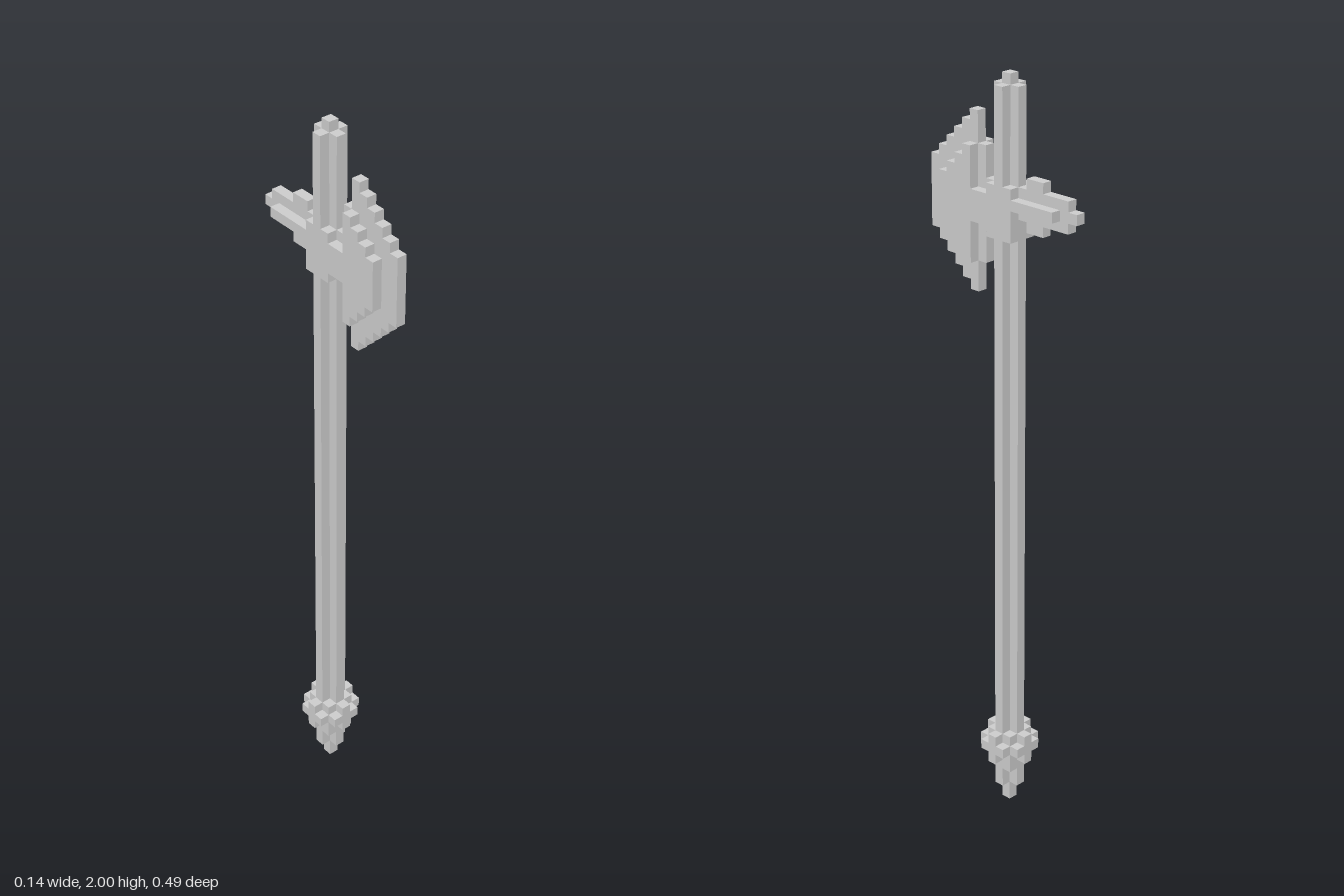
import * as THREE from 'three';

const U = 2 / 74; // one voxel; everything below is measured in voxels
const material = new THREE.MeshStandardMaterial({ color: 0xcccccc, flatShading: true });

function add(parent, name, geometry) {
  const mesh = new THREE.Mesh(geometry, material);
  mesh.name = name;
  parent.add(mesh);
  return mesh;
}

const extrude = (points, depth) => new THREE.ExtrudeGeometry(
  new THREE.Shape(points.map(([x, y]) => new THREE.Vector2(x, y))),
  { depth, bevelEnabled: false });

// Bar with a plus-shaped section, three voxels across, centred and running along z
function plusBar(length) {
  const a = 0.5, b = 1.5;
  return extrude([[a, -b], [a, -a], [b, -a], [b, a], [a, a], [a, b],
    [-a, b], [-a, a], [-b, a], [-b, -a], [-a, -a], [-a, -b]], length)
    .translate(0, 0, -length / 2);
}

const uprightBar = (y0, y1) => plusBar(y1 - y0).rotateX(Math.PI / 2).translate(0, (y0 + y1) / 2, 0);

const block = (w, y0, y1) => new THREE.BoxGeometry(w, y1 - y0, w).translate(0, (y0 + y1) / 2, 0);

// Upright plate from columns [z start, bottom, top]; the last column ends at zEnd
function steppedPlate(columns, zEnd, thickness) {
  const top = [], bottom = [];
  columns.forEach(([z0, lo, hi], i) => {
    const z1 = i + 1 < columns.length ? columns[i + 1][0] : zEnd;
    bottom.push([z0, lo], [z1, lo]);
    top.push([z0, hi], [z1, hi]);
  });
  return extrude([...bottom, ...top.reverse()], thickness)
    .rotateY(-Math.PI / 2).translate(thickness / 2, 0, 0);
}

export function createModel() {
  const model = new THREE.Group();
  model.name = 'battleAxe';
  model.scale.setScalar(U);

  // Pole and pommel share an axis half a voxel behind the centre
  const pole = new THREE.Group();
  pole.name = 'pole';
  pole.position.z = -0.5;
  model.add(pole);
  add(pole, 'shaft', uprightBar(8, 73));
  add(pole, 'shaftTip', block(1, 73, 74));

  // Pommel: core, four studs, tapered end
  add(pole, 'pommelCore', block(3, 4, 8));
  add(pole, 'pommelStudsFrontBack', plusBar(5).translate(0, 6.5, 0));
  add(pole, 'pommelStudsSides', plusBar(5).rotateY(Math.PI / 2).translate(0, 6.5, 0));
  add(pole, 'pommelTaper', uprightBar(2, 4));
  add(pole, 'pommelPoint', block(1, 0, 2));

  const head = new THREE.Group();
  head.name = 'axeHead';
  model.add(head);

  // Thin cutting blade: crescent that loses one voxel at each end per column
  const blade = [[1, 59, 64], [2, 56, 67]];
  for (let z = 3; z < 9; z++) blade.push([z, 50 + z, 73 - z]);
  add(head, 'blade', steppedPlate(blade, 9, 1));

  // Thicker cheeks of the blade and its neck
  const cheek = [[1, 60, 63]];
  for (let z = 3; z < 7; z++) cheek.push([z, 53 + z, 70 - z]);
  add(head, 'bladeCheek', steppedPlate(cheek, 7, 3));

  // Socket around the shaft
  add(head, 'socket', steppedPlate([[-2, 59, 64]], 1, 3));

  // Rear spike with a raised collar and side ribs
  add(head, 'spike', steppedPlate(
    [[-9, 62, 63], [-8, 61, 64], [-5, 60, 65], [-3, 61, 64]], -2, 1));
  add(head, 'spikeRib', steppedPlate([[-7, 62, 63]], -2, 3));

  return model;
}
